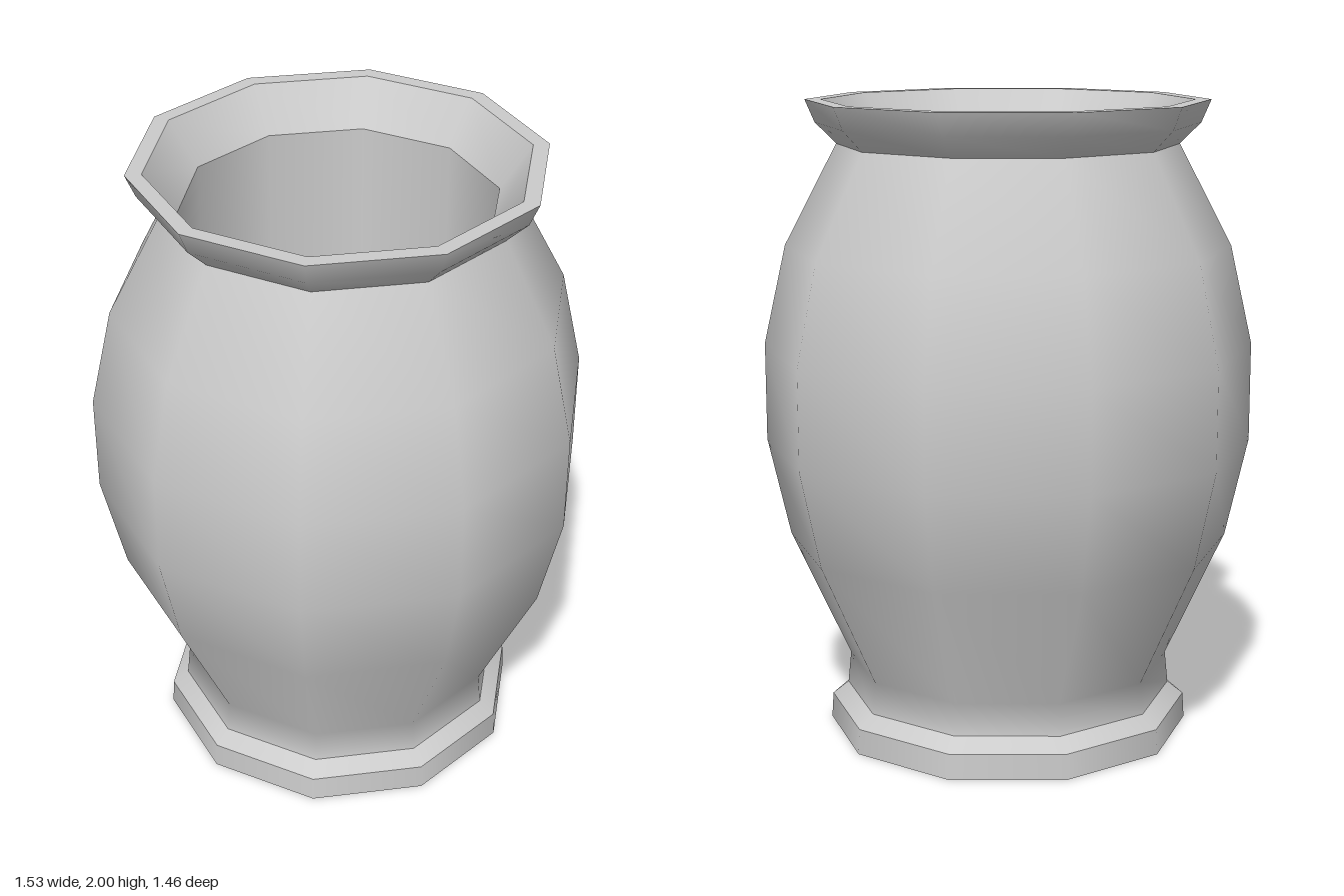
import * as THREE from 'three';

const SIDES = 10;

export function createModel() {
  const group = new THREE.Group();
  const material = new THREE.MeshStandardMaterial({ color: 0xcccccc });

  // Each band is its own lathe: smooth within, sharp where bands meet.
  // Profiles run up the outside, over the rim and down the inside.
  function band(name, profile) {
    const points = profile.map(([r, y]) => new THREE.Vector2(r, y));
    const geometry = new THREE.LatheGeometry(points, SIDES, Math.PI / 2);
    const mesh = new THREE.Mesh(geometry, material);
    mesh.name = name;
    group.add(mesh);
  }

  // Foot
  band('base', [[0, 0], [0.575, 0]]);
  band('foot', [[0.575, 0], [0.57, 0.08]]);
  band('footBevel', [[0.57, 0.08], [0.52, 0.12]]);

  // Bulging body
  band('body', [
    [0.52, 0.12], [0.51, 0.22], [0.695, 0.62], [0.765, 0.93],
    [0.765, 1.24], [0.695, 1.55], [0.53, 1.865],
  ]);

  // Flared lip
  band('lip', [[0.53, 1.865], [0.595, 1.93], [0.625, 2]]);
  band('rim', [[0.625, 2], [0.575, 2]]);
  band('lipInside', [[0.575, 2], [0.48, 1.865]]);

  // Hollow interior
  band('innerWall', [[0.48, 1.865], [0.48, 0.12]]);
  band('innerFloor', [[0.48, 0.12], [0, 0.12]]);

  return group;
}
